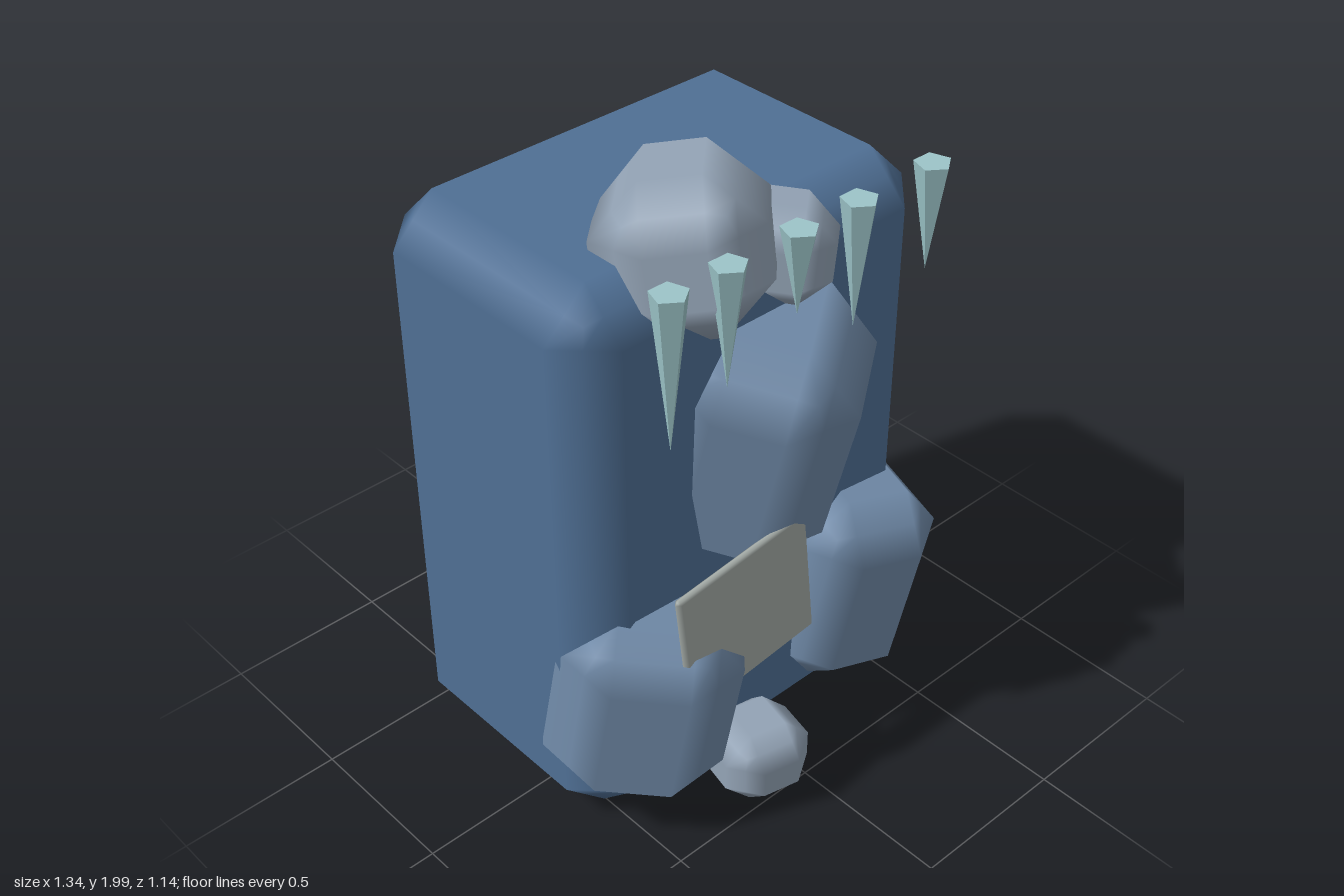
import * as THREE from 'three';
import { RoundedBoxGeometry } from 'three/addons/geometries/RoundedBoxGeometry.js';

// Box with one straight chamfer on every edge; flats shade flat, chamfers blend smoothly.
function chamferBox(w, h, d, r) {
  const geo = new RoundedBoxGeometry(w, h, d, 1, r);
  const pos = geo.attributes.position, nor = geo.attributes.normal;
  const p = new THREE.Vector3(), n = new THREE.Vector3();
  for (let i = 0; i < pos.count; i++) {
    p.fromBufferAttribute(pos, i);
    n.fromBufferAttribute(nor, i);
    // pull the rounded edge vertices in to the straight chamfer plane
    p.addScaledVector(n, r / n.manhattanLength() - r);
    pos.setXYZ(i, p.x, p.y, p.z);
  }
  return geo;
}

export function createModel() {
  const group = new THREE.Group();
  group.name = 'iceBlockFigure';

  const material = (color) => new THREE.MeshStandardMaterial({ color });
  const ice = material(0x4f6f94);
  const stone = material(0x708aa8);
  const paleStone = material(0x93a3b5);
  const slate = material(0xa3aaa6);
  const icicleIce = material(0x9cc4c8);
  icicleIce.flatShading = true;

  function block(name, mat, size, chamfer, position, rotation = [0, 0, 0]) {
    const mesh = new THREE.Mesh(chamferBox(...size, chamfer), mat);
    mesh.name = name;
    mesh.position.set(...position);
    mesh.rotation.set(...rotation);
    group.add(mesh);
  }

  // Large block at the back
  block('backBlock', ice, [1.27, 1.79, 0.88], 0.137, [-0.007, 0.905, -0.13]);

  // Boulders stacked against the front
  block('torsoBoulder', stone, [0.64, 0.81, 0.54], 0.172, [0.035, 1.166, 0.213], [0.25, 0.63, 0]);
  block('leftBoulder', stone, [0.48, 0.68, 0.59], 0.14, [0.38, 0.465, 0.19], [0.1, -0.26, -0.13]);
  block('rightBoulder', stone, [0.515, 0.68, 0.54], 0.15, [-0.38, 0.45, 0.21], [0.1, -0.73, -0.08]);
  block('headBoulder', paleStone, [0.45, 0.44, 0.54], 0.145, [-0.16, 1.76, 0.15], [-0.2, -0.785, 0]);
  block('jawBoulder', paleStone, [0.28, 0.29, 0.28], 0.09, [0.09, 1.685, 0.25], [0.1, 0.7, -0.1]);
  block('footBoulder', paleStone, [0.28, 0.25, 0.29], 0.083, [-0.12, 0.135, 0.41], [0, -0.22, 0]);

  // Thin tilted plate in front of the torso
  block('plate', slate, [0.475, 0.445, 0.026], 0.012, [-0.205, 0.735, 0.445], [0, 0, 0.115]);

  // Row of hanging icicles: [x, length]
  const top = 1.86;
  for (const [x, length] of [[-0.455, 0.46], [-0.265, 0.36], [-0.025, 0.25], [0.187, 0.38], [0.46, 0.32]]) {
    const icicle = new THREE.Mesh(new THREE.CylinderGeometry(0.052, 0, length, 5), icicleIce);
    icicle.name = 'icicle';
    icicle.position.set(x, top - length / 2, 0.42);
    group.add(icicle);
  }

  return group;
}
